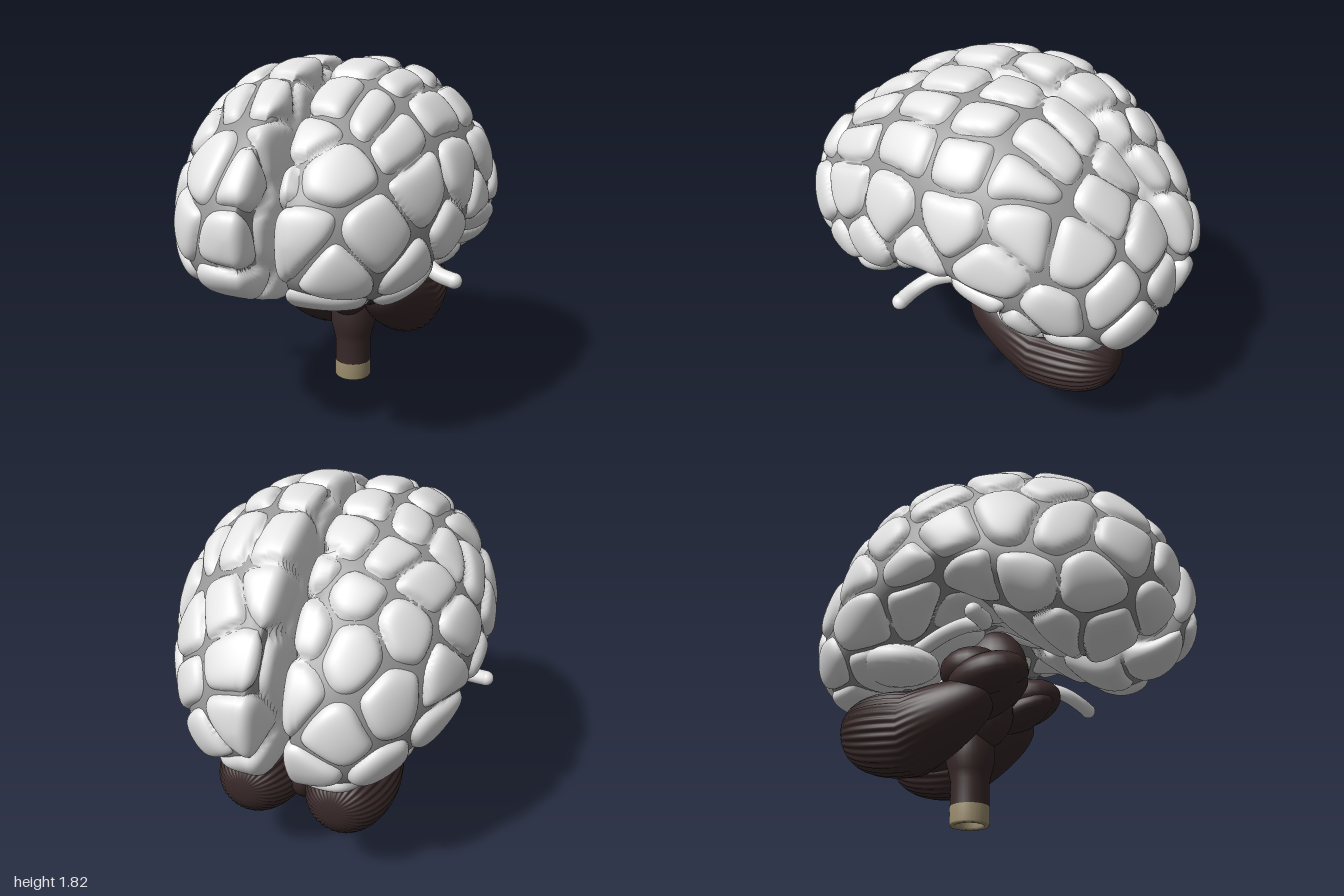
import * as THREE from 'three';

const material = (name, color, side = THREE.FrontSide) => {
  const m = new THREE.MeshStandardMaterial({ color, side });
  m.name = name;
  return m;
};

const seeded = (s) => () => {
  s = (s * 1664525 + 1013904223) >>> 0;
  return s / 4294967296;
};

const smoothstep = THREE.MathUtils.smoothstep;

// Closed surface of rings along z: fn(phi, j / M) -> Vector3, mirrored in x when side is -1.
function closedSurface(fn, N, M, side) {
  const pos = [], idx = [];
  const put = (p) => pos.push(p.x * side, p.y, p.z);
  const tri = (a, b, c) => (side > 0 ? idx.push(a, b, c) : idx.push(a, c, b));
  put(fn(0, 0));
  for (let i = 1; i < N; i++) {
    for (let j = 0; j < M; j++) put(fn((Math.PI * i) / N, j / M));
  }
  put(fn(Math.PI, 0));
  const at = (i, j) => (i === 0 ? 0 : i === N ? 1 + (N - 1) * M : 1 + (i - 1) * M + (j % M));
  for (let i = 0; i < N; i++) {
    for (let j = 0; j < M; j++) {
      if (i < N - 1) tri(at(i, j), at(i + 1, j), at(i + 1, j + 1));
      if (i > 0) tri(at(i, j), at(i + 1, j + 1), at(i, j + 1));
    }
  }
  const g = new THREE.BufferGeometry();
  g.setAttribute('position', new THREE.Float32BufferAttribute(pos, 3));
  g.setIndex(idx);
  g.computeVertexNormals();
  return g;
}

// Moves every vertex along its normal by rule(point).
function inflate(g, rule) {
  const p = g.attributes.position, n = g.attributes.normal;
  const v = new THREE.Vector3(), d = new THREE.Vector3();
  for (let i = 0; i < p.count; i++) {
    v.fromBufferAttribute(p, i);
    d.fromBufferAttribute(n, i);
    v.addScaledVector(d, rule(v));
    p.setXYZ(i, v.x, v.y, v.z);
  }
  g.computeVertexNormals();
  return g;
}

// Hemisphere outline from front to back, every 15 degrees of phi (z = cos phi)
const curve = (a, b) => new THREE.SplineCurve(a.map((v, i) => new THREE.Vector2(v, b[i])));
const topBottom = curve(
  [1.1, 1.25, 1.4, 1.56, 1.69, 1.775, 1.8, 1.775, 1.67, 1.49, 1.3, 1.13, 0.95],
  [1.1, 0.91, 0.81, 0.755, 0.72, 0.85, 1.0, 0.86, 0.71, 0.65, 0.66, 0.79, 0.95]);
const widthMiddle = curve(
  [0.15, 0.3, 0.45, 0.56, 0.65, 0.72, 0.75, 0.755, 0.7, 0.59, 0.47, 0.32, 0.15],
  [1.1, 1.08, 1.06, 1.06, 1.08, 1.12, 1.15, 1.12, 1.05, 1.0, 0.97, 0.95, 0.95]);

function hemispherePoint(phi, angle) {
  const tb = topBottom.getPoint(phi / Math.PI), wm = widthMiddle.getPoint(phi / Math.PI);
  const c = Math.cos(angle), s = Math.sin(angle), core = 0.15;
  const x = c > 0
    ? core + (wm.x - core) * Math.pow(c, s < 0 ? 0.65 : 1)
    : core - 0.123 * Math.sqrt(Math.sin(phi)) * Math.pow(-c, 0.36);
  const y = wm.y + (s > 0 ? (tb.x - wm.y) * s : -(wm.y - tb.y) * Math.pow(-s, 0.9));
  return new THREE.Vector3(x, y, 0.98 * Math.cos(phi));
}

// Three quarters of each ring lie on the outer side, the rest on the midline side
const ringAngle = (t) => (t < 0.75 ? -Math.PI / 2 + (t / 0.75) * Math.PI : Math.PI / 2 + ((t - 0.75) / 0.25) * Math.PI);
const hemisphere = (N, M, side) => closedSurface((phi, t) => hemispherePoint(phi, ringAngle(t)), N, M, side);

// Cell centres of the folds: regular rows on the crown, scattered elsewhere
function foldCentres(side, random) {
  const list = [];
  for (const z of [0.53, 0.17, -0.16, -0.4]) {
    for (const angle of [1.57, 1.13, 0.85]) {
      list.push(hemispherePoint(Math.acos(z / 0.98), angle + (random() - 0.5) * 0.06));
    }
  }
  for (let i = 0; i < 1500; i++) {
    const p = hemispherePoint(Math.PI * random(), (random() * 1.5 - 0.5) * Math.PI);
    if (list.every((q) => q.distanceTo(p) > 0.225)) list.push(p);
  }
  list.forEach((p) => (p.x *= side));
  return list;
}

// Rounded folds with narrow valleys along the borders between cells
function foldRule(side) {
  const centres = foldCentres(side, seeded(side > 0 ? 41 : 97));
  const q = new THREE.Vector3();
  return (p) => {
    q.set(
      p.x + 0.02 * Math.sin(9 * p.y + 5 * p.z),
      p.y + 0.03 * Math.sin(10 * p.z + 4 * p.x),
      p.z + 0.02 * Math.sin(11 * p.x + 7 * p.y));
    const d = centres.map((c) => q.distanceToSquared(c));
    const nearest = d.indexOf(Math.min(...d));
    let valley = 0;
    centres.forEach((c, k) => {
      if (k === nearest) return;
      const border = (d[k] - d[nearest]) / (2 * c.distanceTo(centres[nearest]));
      valley += Math.exp(-border / 0.021);
    });
    const depth = 0.96 + 0.22 * Math.sin(6 * p.x + 5 * p.z) * Math.sin(7 * p.y - 4 * p.z + side);
    const midlineFade = smoothstep(Math.abs(p.x), 0.035, 0.075);
    return 0.02 - 0.06 * depth * midlineFade * Math.min(valley, 1);
  };
}

// Lobe that is narrow, raised and smooth at the front, with ridges towards the back
function cerebellumPoint(phi, t) {
  const a = t * Math.PI * 2, c = Math.cos(phi);
  const ridge = 0.026 * smoothstep(-c, -0.45, 0.3) * Math.sin(32 * a);
  const r = 0.213 * Math.pow(Math.sin(phi), 0.75) * (1 - 0.2 * c) * (1 + ridge);
  const y = 0.44 + 0.13 * Math.max(0, c) + 0.04 * Math.max(0, -c) + r * Math.sin(a);
  return new THREE.Vector3(0.235 + r * Math.cos(a) * 0.97, Math.min(y, 0.69), -0.38 + 0.42 * c);
}

export function createModel() {
  const white = material('pale grey', 0xe3e3e3);
  const grey = material('groove grey', 0x989898);
  const brown = material('dark brown', 0x392929, THREE.DoubleSide);
  const tan = material('tan', 0x9c8e6e, THREE.DoubleSide);

  const model = new THREE.Group();
  model.name = 'brain';
  const add = (name, geometry, mat) => {
    const mesh = new THREE.Mesh(geometry, mat);
    mesh.name = name;
    model.add(mesh);
    return mesh;
  };
  const ellipsoid = (name, mat, centre, radii, tilt = 0) => {
    const mesh = add(name, new THREE.SphereGeometry(1, 22, 14), mat);
    mesh.position.set(...centre);
    mesh.scale.set(...radii);
    mesh.rotation.x = tilt;
  };

  for (const side of [1, -1]) {
    const label = side > 0 ? 'left' : 'right';

    // Folded outer surface, and the groove floor that shows in its valleys
    add(label + 'Hemisphere', inflate(hemisphere(180, 148, side), foldRule(side)), white);
    add(label + 'Grooves', inflate(hemisphere(54, 48, side), () => -0.019), grey);

    // Underside of the temporal lobe and the rod that reaches outwards, longer on the right
    ellipsoid(label + 'LobeUnderside', white, [side * 0.38, 0.765, -0.43], [0.17, 0.1, 0.24], 0.15);
    const reach = side > 0 ? 0 : 0.05;
    const rod = new THREE.CatmullRomCurve3([
      [0.67 + reach, 0.77, 0.2], [0.58, 0.79, 0.18], [0.5, 0.83, 0.12], [0.45, 0.865, 0], [0.42, 0.855, -0.14], [0.4, 0.8, -0.3],
    ].map(([x, y, z]) => new THREE.Vector3(x * side, y, z)));
    add(label + 'Rod', new THREE.TubeGeometry(rod, 30, 0.04, 12), white);
    ellipsoid(label + 'RodTip', white, [side * (0.67 + reach), 0.77, 0.2], [0.04, 0.04, 0.04]);

    // Cerebellum and the bulges in front of it
    add(label + 'Cerebellum', closedSurface(cerebellumPoint, 20, 192, side), brown);
    ellipsoid(label + 'Peduncle', brown, [side * 0.2, 0.68, 0], [0.165, 0.12, 0.22], -0.2);
    ellipsoid(label + 'LowerPeduncle', brown, [side * 0.15, 0.585, -0.04], [0.12, 0.085, 0.25], -0.35);
    ellipsoid(label + 'Thalamus', brown, [side * 0.18, 0.75, -0.1], [0.15, 0.12, 0.17]);
  }

  // Brain stem, leaning forward at the top
  ellipsoid('pons', brown, [0, 0.56, -0.11], [0.13, 0.17, 0.14], 0.3);
  ellipsoid('midbrain', brown, [0, 0.8, -0.08], [0.13, 0.24, 0.2]);
  ellipsoid('vermis', brown, [0, 0.47, -0.42], [0.1, 0.16, 0.24]);
  const lathe = (pts) => new THREE.LatheGeometry(pts.map(([x, y]) => new THREE.Vector2(x, y)), 32);
  const stem = add('stem', lathe([[0.1, 0.08], [0.099, 0.22], [0.11, 0.27], [0.126, 0.33], [0.125, 0.42], [0.1, 0.56]]), brown);
  const end = add('stemEnd', lathe([[0.068, 0.06], [0.068, 0.01], [0.076, 0], [0.096, 0], [0.102, 0.01], [0.102, 0.095], [0.098, 0.097]]), tan);
  const core = add('stemCore', lathe([[0, 0.05], [0.069, 0.05]]), brown);
  for (const part of [stem, end, core]) part.position.z = -0.2;

  return model;
}
